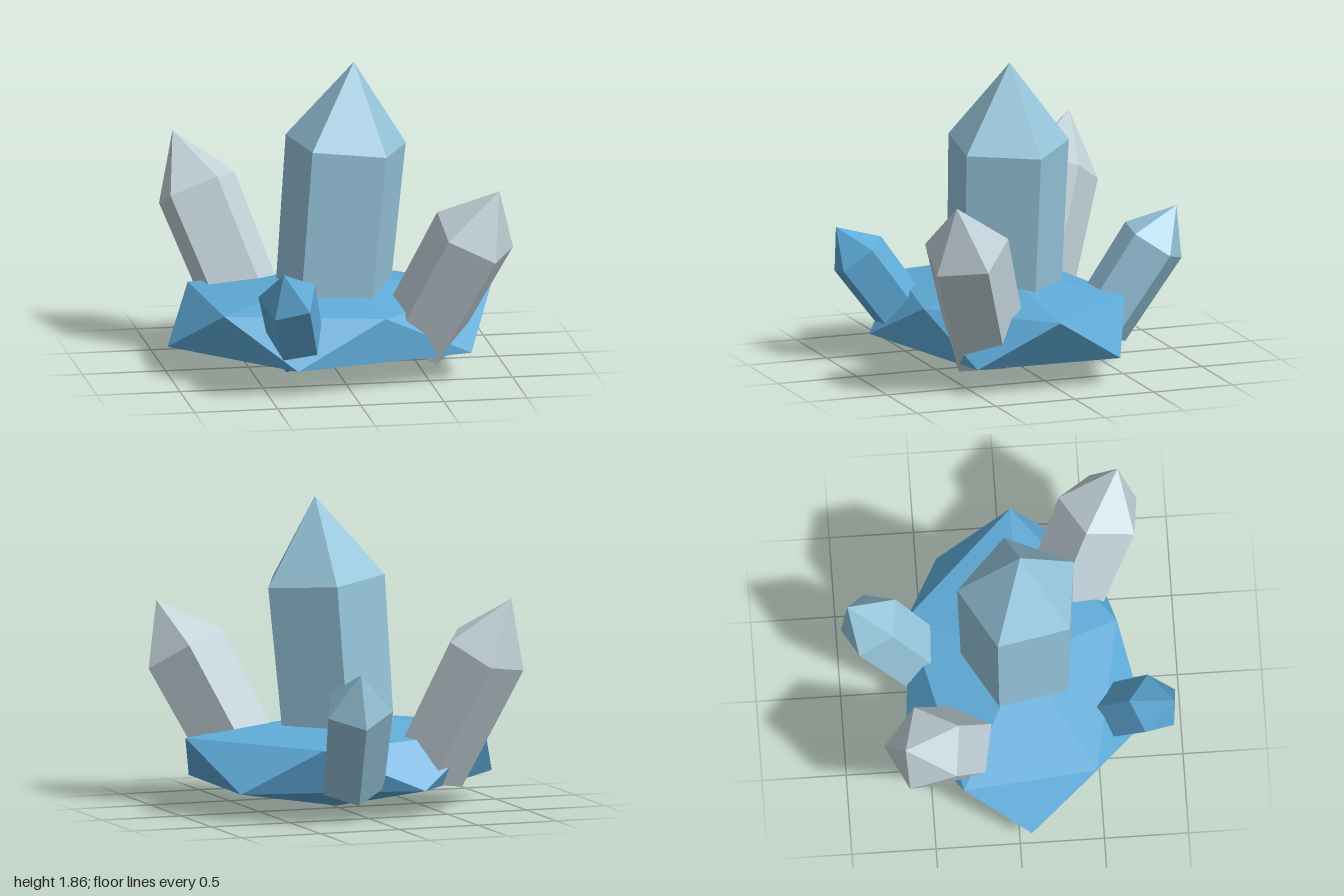
import * as THREE from 'three';

const makeMaterial = (name, color) => {
  const m = new THREE.MeshStandardMaterial({ color });
  m.name = name;
  return m;
};
const vec = (p) => new THREE.Vector3(...p);

// Flat-shaded mesh from a list of triangles, each three Vector3 corners
function facetMesh(name, triangles, material) {
  const geometry = new THREE.BufferGeometry().setFromPoints(triangles.flat());
  geometry.computeVertexNormals();
  const mesh = new THREE.Mesh(geometry, material);
  mesh.name = name;
  return mesh;
}

// Five-sided crystal: a slightly tapered prism below the shoulder, a point above.
// corner is one shoulder corner and sets the twist; length runs shoulder to foot.
function crystal(name, { shoulder, tip, corner, radius, length, taper = 0.94 }, material) {
  const centre = vec(shoulder), top = vec(tip);
  const axis = top.clone().sub(centre).normalize();
  const u = vec(corner).sub(centre).projectOnPlane(axis).normalize();
  const v = axis.clone().cross(u);
  const foot = centre.clone().addScaledVector(axis, -length);
  const ring = (c, r) => Array.from({ length: 5 }, (_, i) => {
    const a = (i / 5) * Math.PI * 2;
    return c.clone().addScaledVector(u, r * Math.cos(a)).addScaledVector(v, r * Math.sin(a));
  });
  const lower = ring(foot, radius * taper), upper = ring(centre, radius);
  const tris = [];
  for (let i = 0; i < 5; i++) {
    const j = (i + 1) % 5;
    tris.push([lower[i], lower[j], upper[j]], [lower[i], upper[j], upper[i]]);
    tris.push([upper[i], upper[j], top], [lower[j], lower[i], foot]);
  }
  return facetMesh(name, tris, material);
}

// Base rock: an irregular flattened icosahedron
function rock(material) {
  const upper = [[0.945, 0.455, 0.07], [0.315, 0.43, -0.58], [-0.81, 0.455, -0.32],
    [-0.73, 0.44, 0.475], [0.21, 0.43, 0.655]].map(vec);
  const lower = [[0.765, 0.165, -0.38], [-0.31, 0.165, -0.63], [-1, 0.165, 0.07],
    [-0.34, 0.165, 0.79], [0.75, 0.165, 0.52]].map(vec);
  const top = vec([-0.02, 0.56, 0.08]), bottom = vec([-0.02, 0, 0.08]);
  const tris = [];
  for (let i = 0; i < 5; i++) {
    const j = (i + 1) % 5;
    tris.push([upper[i], upper[j], top], [lower[i], upper[j], upper[i]]);
    tris.push([lower[i], lower[j], upper[j]], [lower[j], lower[i], bottom]);
  }
  return facetMesh('baseRock', tris, material);
}

export function createModel() {
  const blue = makeMaterial('blue', 0x5fabd8);
  const paleBlue = makeMaterial('pale blue', 0x97c6dc);
  const paleGrey = makeMaterial('pale grey', 0xc3d3da);

  const group = new THREE.Group();
  group.name = 'crystalCluster';
  group.add(
    rock(blue),
    crystal('mainCrystal', {
      shoulder: [0.078, 1.365, 0.074], tip: [0.12, 1.86, 0.075],
      corner: [0.45, 1.33, 0], radius: 0.376, length: 1.1,
    }, paleBlue),
    crystal('backRightCrystal', {
      shoulder: [-0.72, 0.972, -0.548], tip: [-0.84, 1.295, -0.67],
      corner: [-0.63, 1.09, -0.34], radius: 0.255, length: 0.82,
    }, paleGrey),
    crystal('frontLeftCrystal', {
      shoulder: [0.753, 0.9, 0.598], tip: [0.885, 1.195, 0.705],
      corner: [0.81, 0.96, 0.35], radius: 0.263, length: 0.78,
    }, paleGrey),
    crystal('backCrystal', {
      shoulder: [0.187, 0.71, -0.81], tip: [0.22, 0.925, -0.945],
      corner: [0.2, 0.6, -0.99], radius: 0.208, length: 0.6,
    }, paleBlue),
    crystal('frontRightCrystal', {
      shoulder: [-0.407, 0.631, 0.836], tip: [-0.455, 0.805, 0.957],
      corner: [-0.575, 0.625, 0.77], radius: 0.181, length: 0.5,
    }, blue),
  );
  return group;
}
